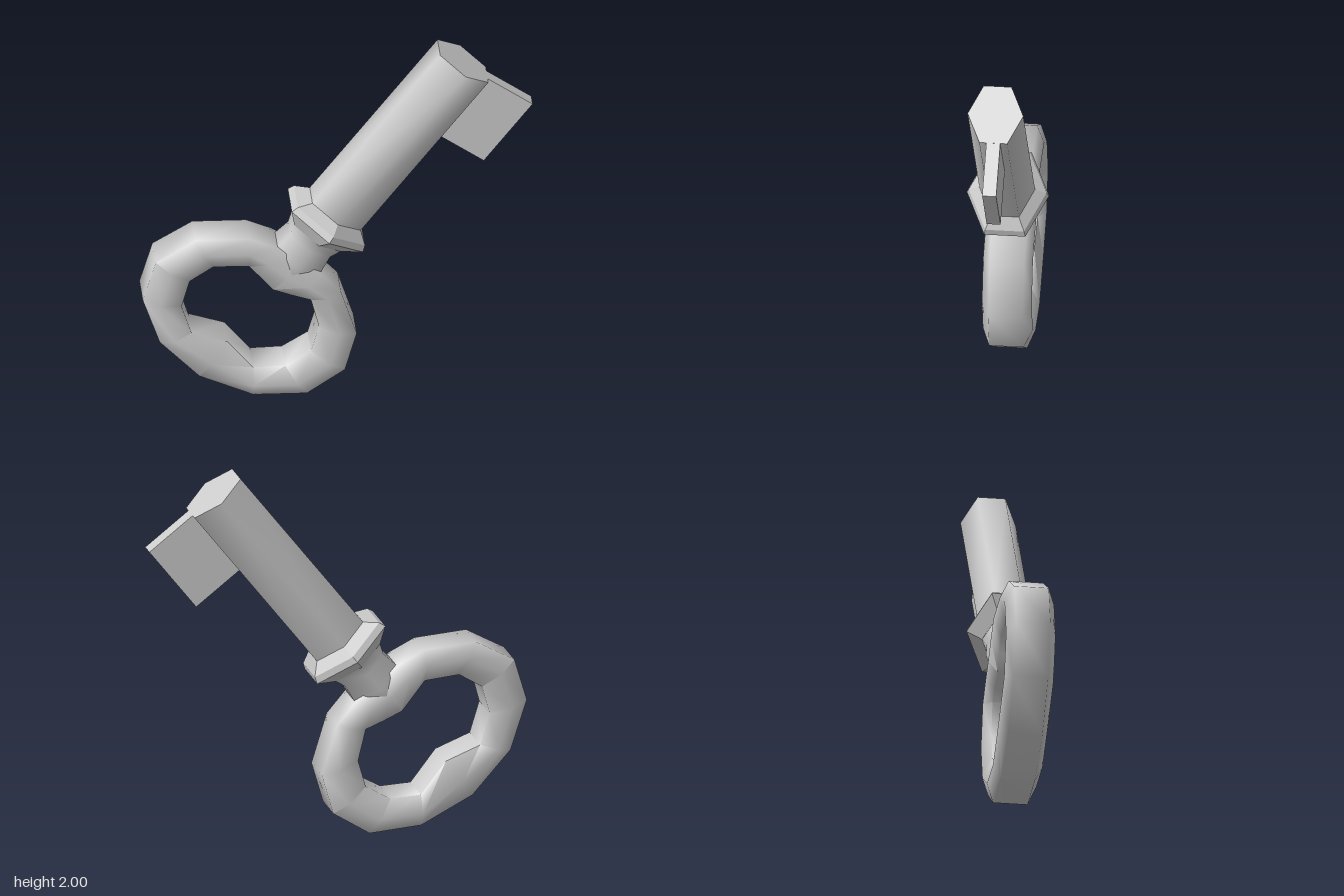
import * as THREE from 'three';
import { toCreasedNormals } from 'three/addons/utils/BufferGeometryUtils.js';

const material = new THREE.MeshStandardMaterial({ color: 0xcccccc });
const HEX_STRETCH = 1.247; // widens the hexagonal sections across their flats

function addPart(parent, name, geometry) {
  const mesh = new THREE.Mesh(geometry, material);
  mesh.name = name;
  parent.add(mesh);
  return mesh;
}

// Six-sided turned part from [radius, height] pairs, listed bottom to top
function hexLathe(profile, crease) {
  const points = profile.map(([r, y]) => new THREE.Vector2(r, y));
  const geometry = new THREE.LatheGeometry(points, 6);
  geometry.scale(HEX_STRETCH, 1, 1);
  return toCreasedNormals(geometry, crease);
}

// Closed bow with a six-sided section between outer and inner outlines
function bowGeometry(stations) {
  const positions = [];
  const index = [];
  const sides = 6;
  for (const [ox, oy, ix, iy] of stations) {
    const section = [[0, -0.087], [0, 0.087], [0.45, 0.125], [1, 0.087], [1, -0.087], [0.45, -0.125]];
    for (const [t, z] of section) {
      positions.push(ox + (ix - ox) * t, oy + (iy - oy) * t, z);
    }
  }
  const count = stations.length;
  for (let k = 0; k < count; k++) {
    for (let j = 0; j < sides; j++) {
      const a = k * sides + j;
      const b = k * sides + (j + 1) % sides;
      const next = ((k + 1) % count) * sides;
      const c = next + j;
      const d = next + (j + 1) % sides;
      index.push(a, b, c, b, d, c);
    }
  }
  const geometry = new THREE.BufferGeometry();
  geometry.setAttribute('position', new THREE.Float32BufferAttribute(positions, 3));
  geometry.setIndex(index);
  return toCreasedNormals(geometry, 1.25);
}

export function createModel() {
  const model = new THREE.Group();
  model.name = 'key';

  // Bow: [outer x, outer y, inner x, inner y], clockwise from the left
  addPart(model, 'bow', bowGeometry([
    [-0.985, 0.62, -0.79, 0.57],
    [-0.92, 0.845, -0.75, 0.72],
    [-0.72, 0.965, -0.63, 0.80],
    [-0.45, 0.955, -0.45, 0.79],
    [-0.32, 0.895, -0.39, 0.715],
    [-0.20, 0.81, -0.33, 0.64],
    [-0.09, 0.72, -0.235, 0.60],
    [0.01, 0.605, -0.14, 0.565],
    [0.09, 0.345, -0.10, 0.40],
    [0.03, 0.13, -0.14, 0.255],
    [-0.16, 0.0, -0.27, 0.175],
    [-0.43, 0.01, -0.43, 0.175],
    [-0.70, 0.14, -0.56, 0.34],
    [-0.90, 0.36, -0.74, 0.405],
  ]));

  // Tilted stem; its origin is where the shaft meets the collar
  const stem = new THREE.Group();
  stem.name = 'stem';
  stem.position.set(-0.01, 1.05, 0);
  stem.rotation.z = -Math.atan2(0.6, 0.8);
  model.add(stem);

  // Neck flowing into the bow
  addPart(stem, 'neck', hexLathe([
    [0, -0.5], [0.1, -0.46], [0.13, -0.33], [0.116, -0.22], [0.135, -0.155],
  ], 1.2));

  // Faceted collar
  addPart(stem, 'collar', hexLathe([
    [0, -0.16], [0.135, -0.158], [0.207, -0.082], [0.195, -0.047], [0.14, 0], [0, 0],
  ], 0.4));

  // Shaft with a flat end
  const shaft = new THREE.CylinderGeometry(0.14, 0.14, 1.07, 6);
  shaft.scale(HEX_STRETCH, 1, 1);
  shaft.translate(0, 0.535, 0);
  addPart(stem, 'shaft', toCreasedNormals(shaft, 1.2));

  // Flat bit, flush with the shaft end
  const bit = addPart(stem, 'bit', new THREE.BoxGeometry(0.334, 0.409, 0.07));
  bit.position.set(0.267, 0.8645, 0);

  return model;
}
